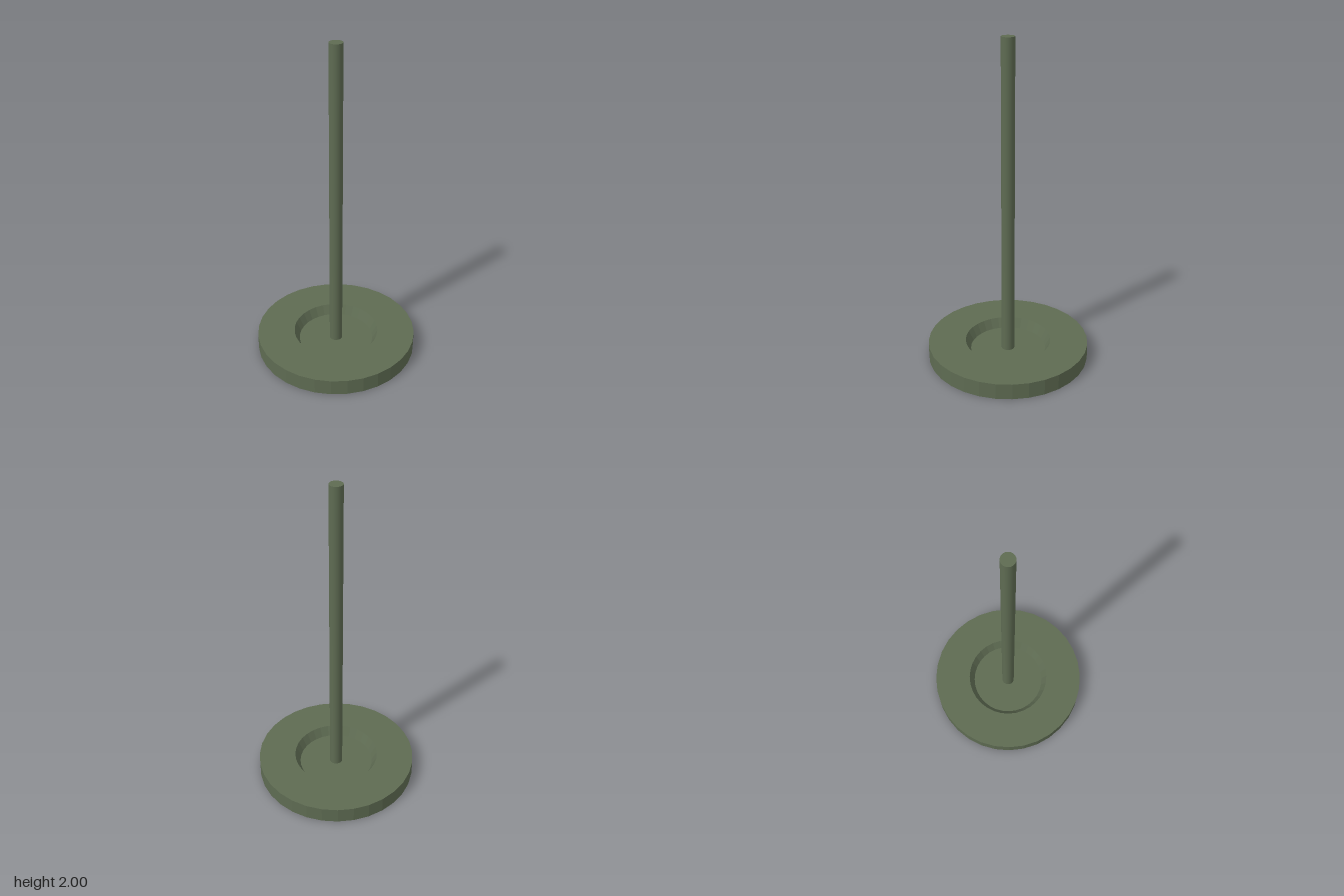
import * as THREE from 'three';

export function createModel() {
  const group = new THREE.Group();
  const olive = new THREE.MeshStandardMaterial({ color: 0x5e6b52 });
  olive.name = 'olive green';
  const oliveFaceted = olive.clone();
  oliveFaceted.flatShading = true;

  // Round base with a sloped recess in its top
  const profile = [
    [0, 0], [0.5, 0], [0.5, 0.1], [0.267, 0.1], [0.235, 0.04], [0, 0.04],
  ].map(([r, y]) => new THREE.Vector2(r, y));
  const base = new THREE.Mesh(new THREE.LatheGeometry(profile, 32), oliveFaceted);
  base.name = 'base';

  // Upright pole standing on the recess floor
  const pole = new THREE.Mesh(new THREE.CylinderGeometry(0.04, 0.04, 1.96, 32), olive);
  pole.position.y = 1.02;
  pole.name = 'pole';

  group.add(base, pole);
  return group;
}
